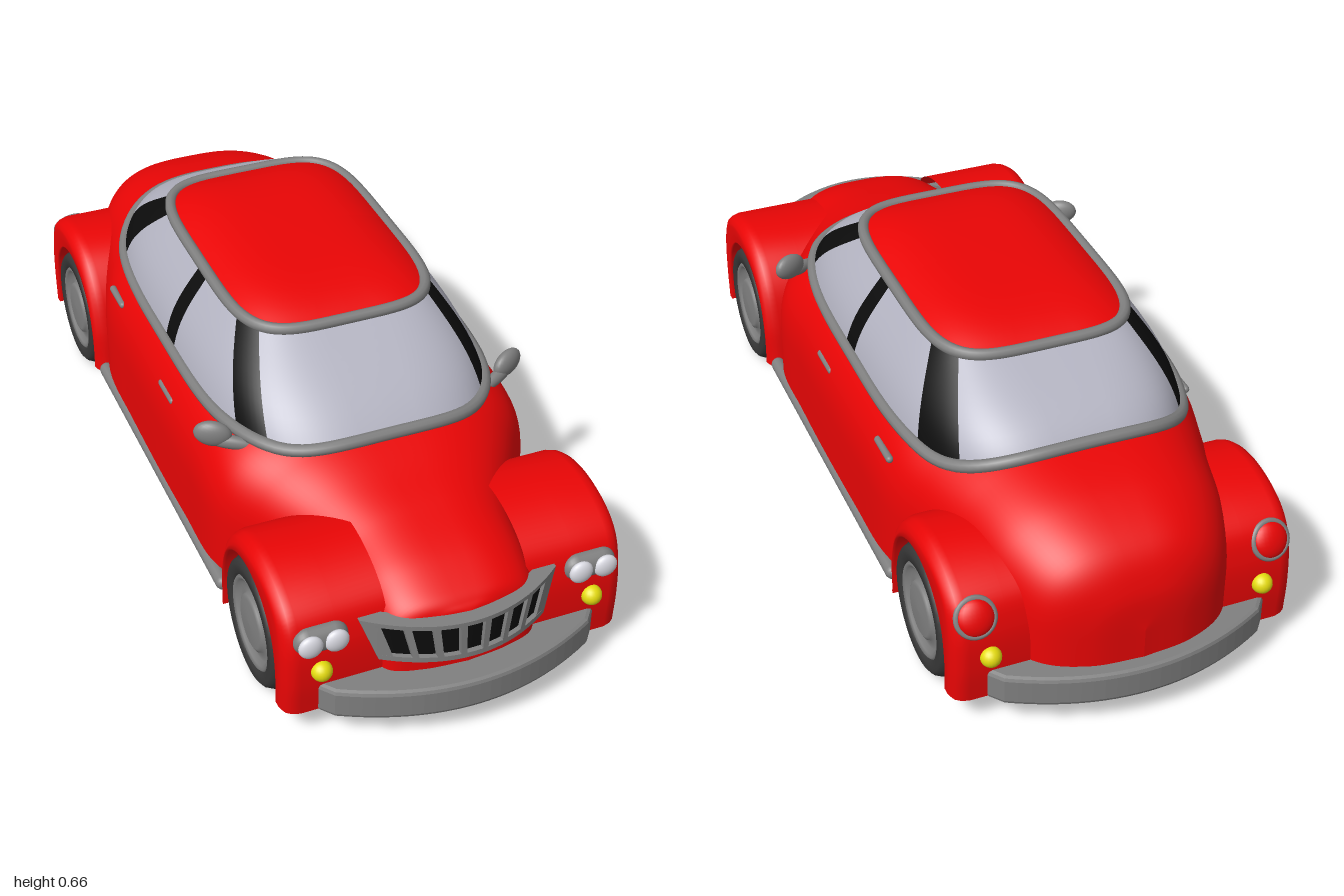
import * as THREE from 'three';
import { ParametricGeometry } from 'three/addons/geometries/ParametricGeometry.js';

const paint = (color) => new THREE.MeshStandardMaterial({ color, side: THREE.DoubleSide });
const red = paint(0xea0505), grey = paint(0x808080), glass = paint(0xb4b4c2), black = paint(0x0c0c0c);
const tyre = paint(0x383838), yellow = paint(0xe6dd10), lamp = paint(0xdcdce4);
const SIDES = [1, -1], lerp = THREE.MathUtils.lerp;
const WHEEL_Z = 0.66, ARCH_Y = 0.155, ARCH_R = 0.165;

function add(parent, name, geometry, material, x = 0, y = 0, z = 0) {
  const mesh = new THREE.Mesh(geometry, material);
  mesh.name = name;
  mesh.position.set(x, y, z);
  parent.add(mesh);
  return mesh;
}

// Smooth surface from a rule f(u, v) -> [x, y, z]
function surface(f, nu, nv) {
  const g = new ParametricGeometry((u, v, p) => p.set(...f(u, v)), nu, nv);
  g.computeVertexNormals();
  return g;
}

// Hull stations: half width, top height, z
const hullCurve = new THREE.CatmullRomCurve3([
  [0, 0.285, 0.935], [0.1, 0.3, 0.924], [0.17, 0.322, 0.898], [0.198, 0.36, 0.82], [0.22, 0.395, 0.7],
  [0.27, 0.42, 0.6], [0.33, 0.448, 0.5], [0.383, 0.475, 0.4], [0.392, 0.503, 0.2], [0.392, 0.507, -0.2],
  [0.386, 0.5, -0.4], [0.355, 0.495, -0.52], [0.32, 0.485, -0.64], [0.28, 0.455, -0.79],
  [0.215, 0.4, -0.9], [0.12, 0.32, -0.95], [0, 0.22, -0.965],
].map((p) => new THREE.Vector3(...p)));
const STATIONS = 150, BASE = 0.2, ROUND = 3;
const stations = hullCurve.getPoints(STATIONS);

// Height of the hull's upper surface at a plan position
function hullY(x, z) {
  const i = stations.findIndex((s) => s.z <= z);
  const a = stations[i - 1], b = stations[i], k = (a.z - z) / (a.z - b.z);
  const r = Math.min(Math.abs(x) / lerp(a.x, b.x, k), 1);
  return BASE + (lerp(a.y, b.y, k) - BASE) * (1 - r ** ROUND) ** (1 / ROUND);
}

function hullPoint(u, v) {
  const { x: w, y: top, z } = stations[Math.round(v * STATIONS)];
  const dz = Math.abs(Math.abs(z) - WHEEL_Z);
  const bottom = dz < ARCH_R ? ARCH_Y + Math.sqrt(ARCH_R ** 2 - dz ** 2) : 0.07;
  if (u < 0.1 || u > 0.9) {
    const k = Math.min(u, 1 - u) / 0.1;
    return [u < 0.5 ? w : -w, Math.max(bottom, lerp(bottom, BASE, k)), z];
  }
  const a = ((u - 0.1) / 0.8) * Math.PI, e = 2 / ROUND, c = Math.cos(a);
  const y = BASE + (top - BASE) * Math.abs(Math.sin(a)) ** e;
  return [Math.sign(c) * w * Math.abs(c) ** e, Math.max(y, bottom), z];
}

// Fender: outer outline and wheel opening, joined by a rounded shell
const outline = new THREE.CatmullRomCurve3([
  [0.88, 0.07], [0.885, 0.16], [0.877, 0.25], [0.85, 0.315], [0.785, 0.357], [0.68, 0.376],
  [0.58, 0.352], [0.515, 0.29], [0.475, 0.19], [0.458, 0.07],
].map(([z, y]) => new THREE.Vector3(0, y, z)));
const opening = new THREE.CatmullRomCurve3([
  new THREE.Vector3(0, 0.07, WHEEL_Z + ARCH_R),
  ...[0, 28, 50, 70, 92, 118, 145, 180].map((d) => {
    const a = THREE.MathUtils.degToRad(d);
    return new THREE.Vector3(0, ARCH_Y + ARCH_R * Math.sin(a), WHEEL_Z + ARCH_R * Math.cos(a));
  }),
  new THREE.Vector3(0, 0.07, WHEEL_Z - ARCH_R),
]);
// Rows across the fender: x, then inset towards the opening
const fenderRows = [[0.165, 0], [0.28, 0], [0.365, 0], [0.382, 0.005], [0.394, 0.014], [0.4, 0.028], [0.402, 0.036],
  [0.402, 9], [0.395, 9], [0.33, 9]];
function fender(side, end) {
  return surface((u, v) => {
    const [x, inset] = fenderRows[Math.round(v * (fenderRows.length - 1))];
    const o = outline.getPoint(u), i = opening.getPoint(u);
    o.lerp(i, Math.min(inset / o.distanceTo(i), 1));
    return [side * x, o.y, end * o.z];
  }, 60, fenderRows.length - 1);
}

// Cabin rings: belt line on the hull, and the roof edge
const power = (v, n) => Math.sign(v) * Math.abs(v) ** (2 / n);
function beltPoint(a) {
  const x = 0.337 * power(Math.cos(a), 3.6), z = -0.07 + 0.575 * power(Math.sin(a), 3.6);
  return [x, hullY(x, z) + 0.006, z];
}
function roofPoint(a, r = 1) {
  return [0.238 * r * power(Math.cos(a), 4.5), 0.613 + 0.044 * (1 - r ** 4), -0.08 + 0.35 * r * power(Math.sin(a), 4.5)];
}
function cabinPoint(beltAngle, roofAngle, v) {
  const b = beltPoint(beltAngle), t = roofPoint(roofAngle), bulge = 1 + 0.055 * Math.sin(Math.PI * v);
  return [lerp(b[0], t[0], v) * bulge, lerp(b[1], t[1], v), lerp(b[2], t[2], v) * bulge];
}
function ringTube(point, radius) {
  const pts = Array.from({ length: 72 }, (_, i) => new THREE.Vector3(...point((i / 72) * Math.PI * 2)));
  return new THREE.TubeGeometry(new THREE.CatmullRomCurve3(pts, true), 160, radius, 10, true);
}

// Box tapered and bent around the nose
function grilleBox(x0, x1, y0, y1, back, front) {
  const g = new THREE.BoxGeometry(x1 - x0, y1 - y0, front - back, x1 - x0 > 0.1 ? 24 : 1);
  g.translate((x0 + x1) / 2, (y0 + y1) / 2, (back + front) / 2);
  const p = g.attributes.position;
  for (let i = 0; i < p.count; i++) {
    const x = p.getX(i) * (1 + (p.getY(i) - 0.237) * 1.7);
    p.setX(i, x);
    p.setZ(i, p.getZ(i) + 0.965 - 1.7 * x * x);
  }
  g.computeVertexNormals();
  return g;
}

function bumper() {
  const s = new THREE.Shape();
  s.moveTo(-0.3, 0.86).lineTo(-0.315, 0.885).lineTo(-0.295, 0.91).quadraticCurveTo(0, 1.07, 0.295, 0.91);
  s.lineTo(0.315, 0.885).lineTo(0.3, 0.86);
  const g = new THREE.ExtrudeGeometry(s, { depth: 0.055, bevelSize: 0.01, bevelThickness: 0.01, bevelSegments: 2, curveSegments: 24 });
  return g.rotateX(Math.PI / 2).translate(0, 0.135, 0);
}

function wheel() {
  const group = new THREE.Group();
  const lathe = (pts) => new THREE.LatheGeometry(pts.map((p) => new THREE.Vector2(...p)), 40);
  add(group, 'tyre', lathe([[0.1, -0.06], [0.132, -0.067], [0.144, -0.06], [0.152, -0.045], [0.152, 0.045],
    [0.145, 0.06], [0.136, 0.067], [0.114, 0.066], [0.108, 0.055]]), tyre);
  add(group, 'rim', lathe([[0.1, -0.06], [0.1, 0.045], [0.112, 0.058], [0.106, 0.064], [0.098, 0.06], [0.09, 0.05],
    [0.07, 0.05], [0.066, 0.06], [0.058, 0.064], [0.0001, 0.066]]), grey);
  return group;
}

export function createModel() {
  const car = new THREE.Group(), PI = Math.PI;
  car.name = 'car';

  // Body shell, floor and bulkheads
  add(car, 'hull', surface(hullPoint, 60, STATIONS), red);
  add(car, 'floor', new THREE.BoxGeometry(0.76, 0.015, 0.92), grey, 0, 0.078, 0);
  for (const e of SIDES) add(car, 'bulkhead', new THREE.BoxGeometry(0.68, 0.2, 0.01), red, 0, 0.175, e * 0.46);

  // Cabin panels between edges, each edge an angle on the belt and on the roof
  const front = [0.88, 0.79], pillarFront = [0.58, 0.4], middleFront = [0.019, 0.021], middleRear = [0.0005, 0.0006];
  const pillarRear = [-0.47, -0.4], rear = [-0.87, -0.85];
  const mirrored = (edge) => edge.map((a) => PI - a);
  const panel = (name, e0, e1, mat) => add(car, name, surface((u, v) =>
    cabinPoint(lerp(e0[0], e1[0], u), lerp(e0[1], e1[1], u), v), 24, 10), mat);
  panel('windshield', front, mirrored(front), glass);
  panel('rearWindow', rear, rear.map((a) => -PI - a), glass);
  for (const s of SIDES) {
    const side = (name, e0, e1, mat) => (s > 0 ? panel(name, e0, e1, mat) : panel(name, mirrored(e0), mirrored(e1), mat));
    side('frontPillar', pillarFront, front, black);
    side('frontSideWindow', middleFront, pillarFront, glass);
    side('middlePillar', middleRear, middleFront, black);
    side('rearSideWindow', pillarRear, middleRear, glass);
    side('rearPillar', rear, pillarRear, black);
  }
  add(car, 'roof', surface((u, v) => roofPoint(u * PI * 2, 1 - 0.999 * v), 80, 14), red);
  add(car, 'roofTrim', ringTube(roofPoint, 0.014), grey);
  add(car, 'beltTrim', ringTube(beltPoint, 0.015), grey);

  // Grille with seven slots
  const grille = new THREE.Group();
  grille.name = 'grille';
  car.add(grille);
  add(grille, 'slots', grilleBox(-0.2, 0.2, 0.192, 0.284, -0.045, -0.012), black);
  add(grille, 'topRail', grilleBox(-0.213, 0.213, 0.277, 0.288, -0.045, 0), grey);
  add(grille, 'bottomRail', grilleBox(-0.213, 0.213, 0.187, 0.2, -0.045, 0), grey);
  for (let i = 0; i < 8; i++) {
    const x = (i - 3.5) * 0.0535, half = 0.007;
    add(grille, 'bar', grilleBox(i === 0 ? -0.213 : x - half, i === 7 ? 0.213 : x + half, 0.19, 0.286, -0.045, 0), grey);
  }

  add(car, 'frontBumper', bumper(), grey);
  add(car, 'rearBumper', bumper().rotateY(PI), grey);

  for (const s of SIDES) {
    // Fenders, wheels and turn signals
    for (const e of SIDES) {
      add(car, e > 0 ? 'frontFender' : 'rearFender', fender(s, e), red);
      const w = wheel();
      w.name = e > 0 ? 'frontWheel' : 'rearWheel';
      w.position.set(s * 0.334, 0.152, e * WHEEL_Z);
      w.rotation.z = (-s * PI) / 2;
      car.add(w);
      add(car, 'turnSignal', new THREE.SphereGeometry(0.024, 20, 14), yellow, s * 0.32, 0.187, e * 0.887);
    }

    // Paired headlights
    const housing = new THREE.CapsuleGeometry(0.032, 0.06, 8, 20).rotateZ(PI / 2).scale(1, 1, 0.8);
    add(car, 'headlightHousing', housing, grey, s * 0.316, 0.265, 0.868);
    for (const x of [0.287, 0.346]) {
      add(car, 'headlight', new THREE.SphereGeometry(0.028, 24, 14).scale(1, 1, 0.5), lamp, s * x, 0.265, 0.89);
    }

    // Tail light with its ring
    const tail = new THREE.Group();
    tail.name = 'tailLight';
    tail.position.set(s * 0.345, 0.283, -0.862);
    tail.lookAt(s * 0.42, 0.78, -1.862);
    add(tail, 'lens', new THREE.SphereGeometry(0.042, 24, 14).scale(1, 1, 0.45), red);
    add(tail, 'ring', new THREE.TorusGeometry(0.042, 0.007, 8, 32), grey);
    car.add(tail);

    // Swept-back mirror on a tapering stalk
    const mirror = add(car, 'mirror', new THREE.SphereGeometry(1, 24, 16).scale(0.044, 0.032, 0.02), grey, s * 0.364, 0.443, 0.348);
    mirror.rotation.set(0, s * 0.45, s * 0.15);
    const stalk = add(car, 'mirrorStalk', new THREE.SphereGeometry(1, 24, 16).scale(0.062, 0.017, 0.015), grey, s * 0.335, 0.424, 0.364);
    stalk.rotation.set(0, s * 0.5, s * 0.12);

    // Sill and door handles
    add(car, 'sill', new THREE.CapsuleGeometry(0.018, 0.89, 6, 12), grey, s * 0.384, 0.09, 0).rotation.x = PI / 2;
    for (const [x, y, z] of [[0.372, 0.352, 0.045], [0.366, 0.37, -0.355]]) {
      add(car, 'doorHandle', new THREE.CapsuleGeometry(0.009, 0.078, 6, 12), grey, s * x, y, z).rotation.x = PI / 2;
    }
  }
  return car;
}
